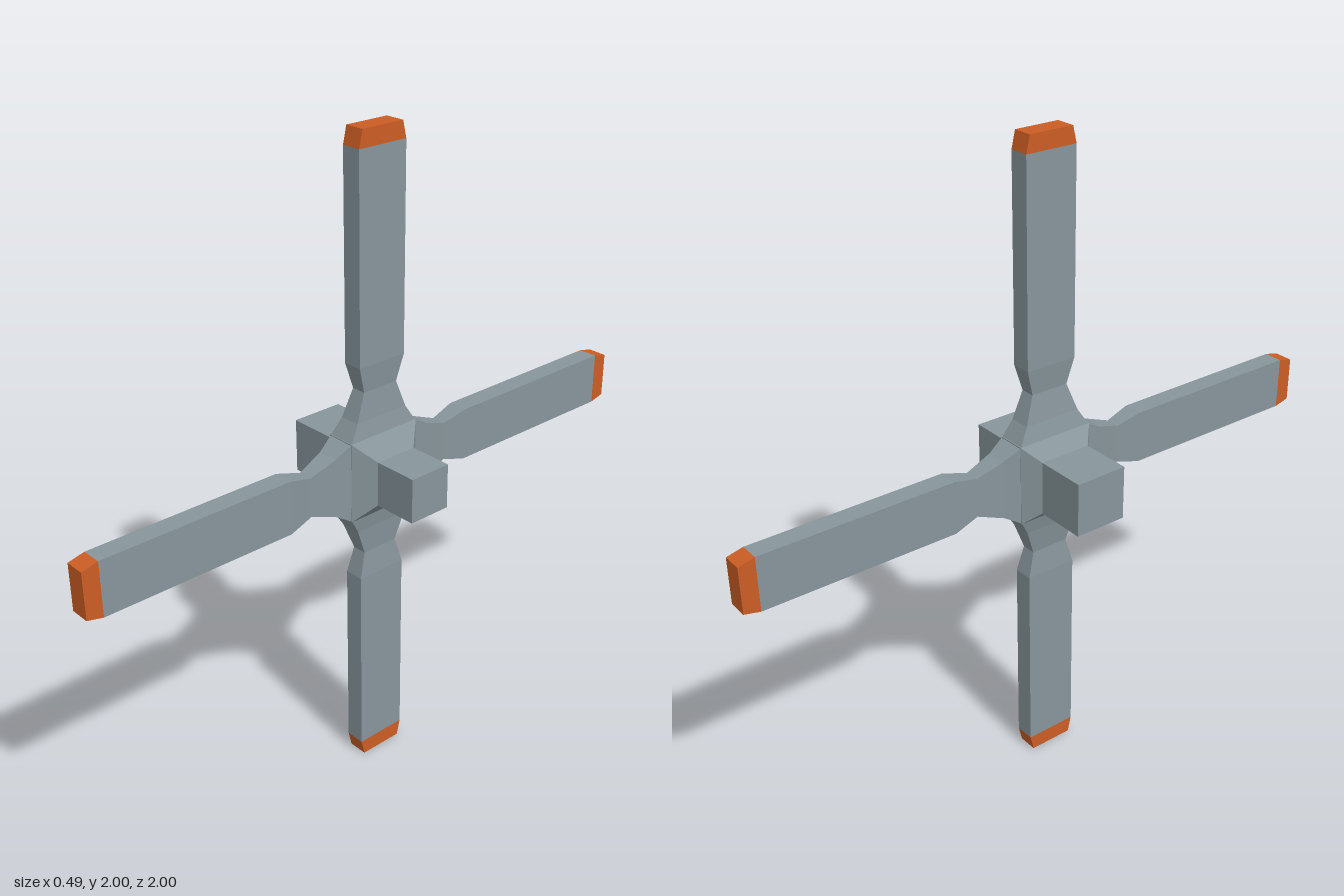
import * as THREE from 'three';

// Rectangular sections [y, xMin, xMax, halfDepth] joined along y into a closed solid
function loft(sections) {
  const rings = sections.map(([y, a, b, d]) => [[a, y, d], [b, y, d], [b, y, -d], [a, y, -d]]);
  const pos = [];
  const quad = (a, b, c, d) => pos.push(...a, ...b, ...c, ...a, ...c, ...d);
  for (let i = 0; i < rings.length - 1; i++) {
    const lo = rings[i], hi = rings[i + 1];
    for (let k = 0; k < 4; k++) {
      const n = (k + 1) % 4;
      quad(lo[k], lo[n], hi[n], hi[k]);
    }
  }
  const first = rings[0], last = rings[rings.length - 1];
  quad(first[3], first[2], first[1], first[0]);
  quad(...last);
  const geo = new THREE.BufferGeometry();
  geo.setAttribute('position', new THREE.Float32BufferAttribute(pos, 3));
  geo.computeVertexNormals();
  return geo;
}

export function createModel() {
  const metal = new THREE.MeshStandardMaterial({ color: 0x87959b });
  metal.name = 'greyMetal';
  const paint = new THREE.MeshStandardMaterial({ color: 0xcb5d23 });
  paint.name = 'orangeTip';

  const model = new THREE.Group();
  model.name = 'propeller';
  const rotor = new THREE.Group();
  rotor.name = 'rotor';
  rotor.position.y = 1;
  model.add(rotor);

  const add = (parent, name, geo, mat) => {
    const mesh = new THREE.Mesh(geo, mat);
    mesh.name = name;
    parent.add(mesh);
    return mesh;
  };

  // Square hub, bevelled towards both shaft stubs
  const hub = loft([
    [-0.085, -0.083, 0.083, 0.083],
    [-0.04, -0.125, 0.125, 0.125],
    [0.05, -0.125, 0.125, 0.125],
    [0.1, -0.069, 0.069, 0.069],
  ]).rotateZ(-Math.PI / 2);
  add(rotor, 'hub', hub, metal);

  // Square shaft stubs on either side
  add(rotor, 'frontShaft', new THREE.BoxGeometry(0.15, 0.138, 0.138), metal).position.x = 0.165;
  add(rotor, 'rearShaft', new THREE.BoxGeometry(0.17, 0.166, 0.166), metal).position.x = -0.16;

  // Four blades flaring into the hub, pinched at the neck, with painted tips
  const bladeGeo = loft([
    [0.12, -0.04, 0.05, 0.125],
    [0.175, -0.026, 0.04, 0.092],
    [0.26, -0.013, 0.033, 0.061],
    [0.34, -0.021, 0.041, 0.083],
    [0.95, -0.021, 0.041, 0.083],
  ]);
  const tipGeo = loft([
    [0.95, -0.021, 0.041, 0.083],
    [1, -0.021, 0.041, 0.071],
  ]);
  for (let i = 0; i < 4; i++) {
    const arm = new THREE.Group();
    arm.name = 'bladeArm' + (i + 1);
    arm.rotation.x = (i * Math.PI) / 2;
    add(arm, 'blade', bladeGeo, metal);
    add(arm, 'bladeTip', tipGeo, paint);
    rotor.add(arm);
  }
  return model;
}
